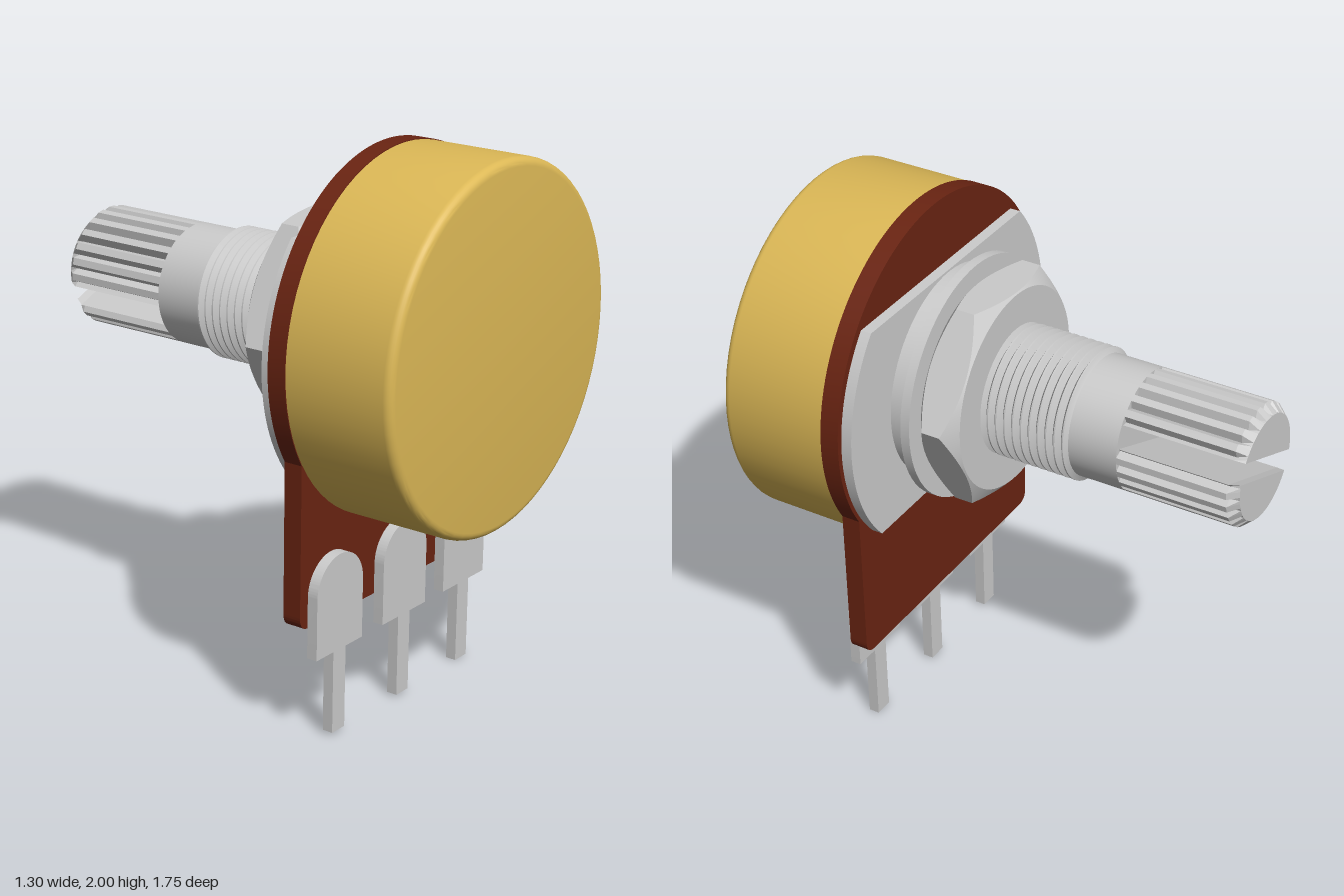
import * as THREE from 'three';
import { toCreasedNormals } from 'three/addons/utils/BufferGeometryUtils.js';

const metal = new THREE.MeshStandardMaterial({ color: 0xcccccc });
const gold = new THREE.MeshStandardMaterial({ color: 0xdcb856 });
const brown = new THREE.MeshStandardMaterial({ color: 0x6a2412 });

export function createModel() {
  const model = new THREE.Group();
  model.name = 'potentiometer';
  model.position.y = 1.35; // the shaft axis is the local z axis

  // board, plate and pins sit very slightly turned about the shaft
  const tilted = new THREE.Group();
  tilted.name = 'terminalBoard';
  tilted.rotation.z = -0.015;
  model.add(tilted);

  const add = (name, geometry, material = metal, parent = model) => {
    const mesh = new THREE.Mesh(geometry, material);
    mesh.name = name;
    parent.add(mesh);
    return mesh;
  };
  // solid of revolution about z, from [radius, z] pairs with z rising
  const turned = (pairs) => toCreasedNormals(
    new THREE.LatheGeometry(pairs.map(([r, z]) => new THREE.Vector2(r, z)), 72).rotateX(Math.PI / 2), 0.5);
  // flat plate between two z values
  const plate = (shape, z0, z1) => toCreasedNormals(
    new THREE.ExtrudeGeometry(shape, { depth: z1 - z0, bevelEnabled: false, curveSegments: 40 }).translate(0, 0, z0), 0.5);

  // round can with a softened front rim
  const can = [[0, 0.46], [0.647, 0.46]];
  for (let i = 0; i <= 6; i++) {
    const a = (i / 6) * Math.PI / 2;
    can.push([0.617 + 0.03 * Math.cos(a), 0.845 + 0.03 * Math.sin(a)]);
  }
  can.push([0, 0.875]);
  add('can', turned(can), gold);

  // board: disc merging into a rounded rectangle
  const w = 0.555, bottom = -0.93, c = 0.05;
  const a0 = Math.acos(w / 0.65);
  const board = new THREE.Shape();
  board.moveTo(-w + c, bottom);
  board.lineTo(w - c, bottom);
  board.quadraticCurveTo(w, bottom, w, bottom + c);
  board.absarc(0, 0, 0.65, -a0, Math.PI + a0, false);
  board.lineTo(-w, bottom + c);
  board.quadraticCurveTo(-w, bottom, -w + c, bottom);
  add('board', plate(board, 0.395, 0.465), brown, tilted);

  // mounting plate: disc with flats above and below
  const b = Math.asin(0.41 / 0.63);
  const mount = new THREE.Shape();
  mount.absarc(0, 0, 0.63, -b, b, false);
  mount.absarc(0, 0, 0.63, Math.PI - b, Math.PI + b, false);
  mount.closePath();
  add('mountingPlate', plate(mount, 0.355, 0.395), metal, tilted).position.y = -0.012;

  // three terminals: round-topped tab narrowing to a pin
  for (const x of [-0.383, 0, 0.375]) {
    const tab = new THREE.Shape();
    tab.moveTo(-0.035, -1.343);
    tab.lineTo(0.035, -1.343);
    tab.lineTo(0.035, -1.04);
    tab.lineTo(0.13, -1.04);
    tab.absarc(0, -0.82, 0.13, 0, Math.PI, false);
    tab.lineTo(-0.13, -1.04);
    tab.lineTo(-0.035, -1.04);
    add('terminal', plate(tab, 0.465, 0.505), metal, tilted).position.x = x;
  }

  // collar and washer
  add('collar', turned([[0, 0.27], [0.38, 0.27], [0.39, 0.285], [0.39, 0.36], [0, 0.36]]));
  add('washer', turned([[0, 0.245], [0.445, 0.245], [0.445, 0.28], [0, 0.28]]));

  add('nut', nutGeometry(0.375, 0.09, 0.245)).rotation.z = 0.045;

  // threaded bushing
  const thread = [[0, -0.25], [0.213, -0.25]];
  const turns = 11, pitch = 0.36 / turns;
  for (let i = 0; i < turns; i++) {
    const z = -0.25 + i * pitch;
    thread.push([0.215, z + 0.002], [0.24, z + pitch * 0.42], [0.24, z + pitch * 0.58]);
  }
  thread.push([0.215, 0.11], [0, 0.11]);
  add('threadedBushing', turned(thread));

  add('shaft', turned([[0, -0.43], [0.22, -0.43], [0.22, -0.24], [0, -0.24]]));

  // knurled end, split in two by a slot
  for (const turn of [0, Math.PI]) {
    add('knurledHalf', knurlGeometry()).rotation.z = 0.385 + turn;
  }

  const root = new THREE.Group();
  root.name = 'model';
  root.add(model);
  return root;
}

// Hexagon whose corners are cut by a cone at both ends
function nutGeometry(flat, z0, z1) {
  const n = 96, pos = [], index = [];
  for (let i = 0; i <= n; i++) {
    const a = (i / n) * Math.PI * 2;
    const off = (a % (Math.PI / 3)) - Math.PI / 6;
    const r = flat / Math.cos(off);
    const cut = 0.005 + (r - flat) * 0.65;
    const ring = [[0, z0], [flat - 0.005, z0], [r, z0 + cut], [r, z1 - cut], [flat - 0.005, z1], [0, z1]];
    for (const [q, z] of ring) pos.push(q * Math.cos(a), q * Math.sin(a), z);
  }
  for (let i = 0; i < n; i++) {
    for (let j = 0; j < 5; j++) {
      const p = i * 6 + j, q = p + 6;
      if (j > 0) index.push(p, q, p + 1);
      if (j < 4) index.push(q, q + 1, p + 1);
      else index.pop(), index.pop(), index.pop(), index.push(p, q, p + 1);
    }
  }
  const g = new THREE.BufferGeometry();
  g.setAttribute('position', new THREE.Float32BufferAttribute(pos, 3));
  g.setIndex(index);
  return toCreasedNormals(g, 0.3);
}

// Half of a grooved cylinder above the slot, chamfered at the tip
function knurlGeometry() {
  const slot = 0.042, teeth = 24, pts = [];
  const edge = Math.asin(slot / 0.21);
  pts.push(new THREE.Vector2(0.21 * Math.cos(edge), slot));
  for (let i = 0; i < teeth; i++) {
    for (const [f, r] of [[0, 0.192], [0.28, 0.22], [0.72, 0.22]]) {
      const a = ((i + f) / teeth) * Math.PI * 2;
      if (a > edge + 0.03 && a < Math.PI - edge - 0.03) {
        pts.push(new THREE.Vector2(r * Math.cos(a), r * Math.sin(a)));
      }
    }
  }
  pts.push(new THREE.Vector2(-0.21 * Math.cos(edge), slot));
  const g = new THREE.ExtrudeGeometry(new THREE.Shape(pts), { depth: 0.445, steps: 2, bevelEnabled: false });
  const p = g.attributes.position;
  for (let i = 0; i < p.count; i++) {
    const z = p.getZ(i);
    if (z < 0.01) {
      const k = Math.min(1, 0.188 / Math.hypot(p.getX(i), p.getY(i)));
      p.setXY(i, p.getX(i) * k, p.getY(i) * k);
    } else if (z < 0.4) p.setZ(i, 0.035);
  }
  g.translate(0, 0, -0.875);
  g.computeVertexNormals();
  return g;
}
